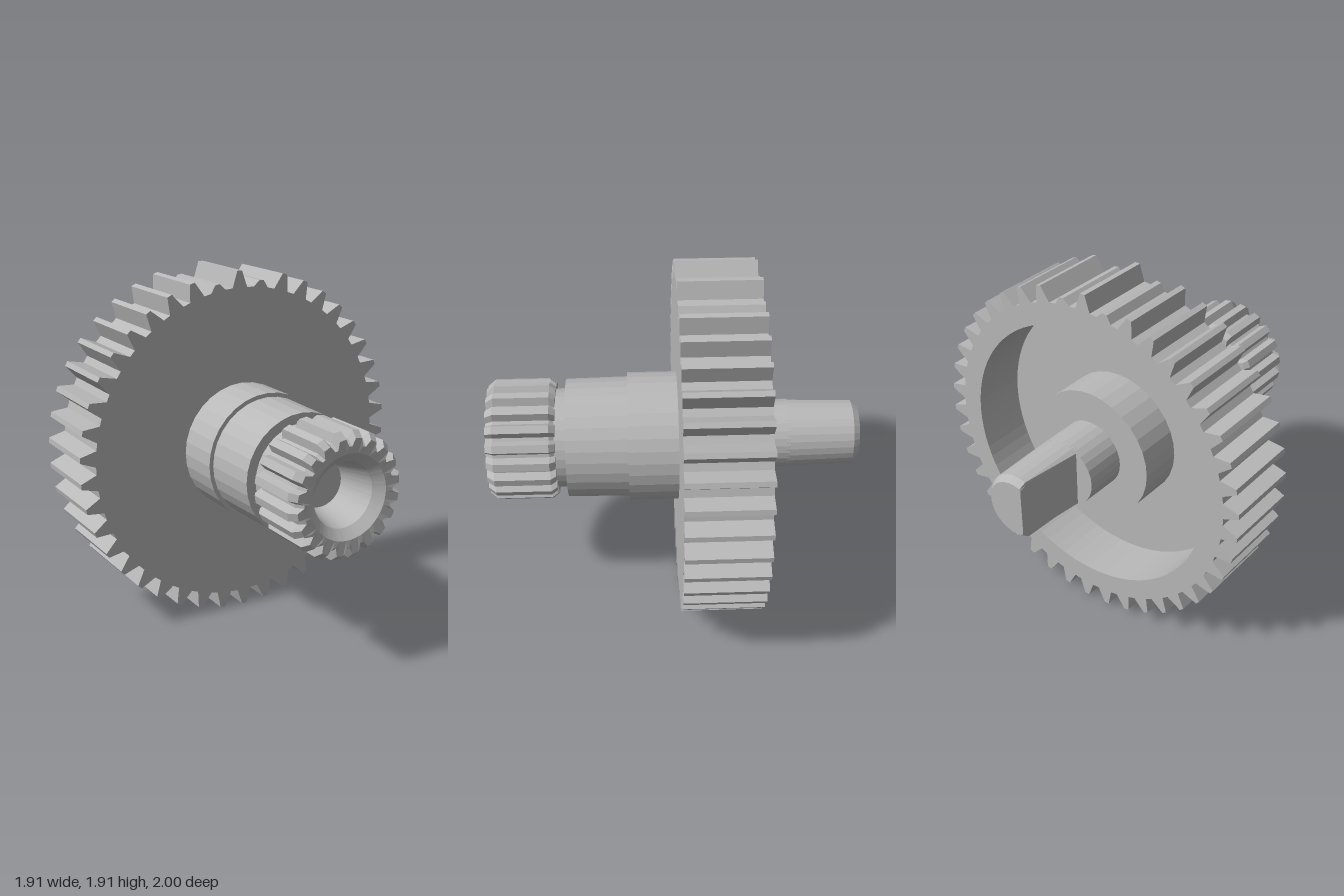
import * as THREE from 'three';

const AXIS_Y = 0.957;

// Toothed outline, counter-clockwise, as [x, y] points; tipOf(i) gives the tip radius of tooth i
function toothOutline(count, root, tipOf, rootHalf, tipHalf, start) {
  const pts = [];
  for (let i = 0; i < count; i++) {
    const pitch = (Math.PI * 2) / count;
    const a = start + i * pitch;
    const tip = tipOf(i);
    for (const [f, r] of [[-rootHalf, root], [-tipHalf, tip], [tipHalf, tip], [rootHalf, root]]) {
      pts.push([Math.cos(a + f * pitch) * r, Math.sin(a + f * pitch) * r]);
    }
  }
  return pts;
}

// Skin over equal-length rings of [x, y, z], ordered along the surface, closed at both ends
function loft(rings) {
  const n = rings[0].length;
  const pos = [];
  const mid = (ring) => [0, 1, 2].map((k) => ring.reduce((s, p) => s + p[k], 0) / n);
  const first = rings[0], last = rings[rings.length - 1];
  const c0 = mid(first), c1 = mid(last);
  for (let i = 0; i < n; i++) {
    const j = (i + 1) % n;
    for (let k = 0; k + 1 < rings.length; k++) {
      const a = rings[k][i], b = rings[k][j], c = rings[k + 1][j], d = rings[k + 1][i];
      pos.push(...a, ...b, ...c, ...a, ...c, ...d);
    }
    pos.push(...c0, ...first[j], ...first[i], ...c1, ...last[i], ...last[j]);
  }
  const g = new THREE.BufferGeometry();
  g.setAttribute('position', new THREE.Float32BufferAttribute(pos, 3));
  g.computeVertexNormals();
  return g;
}

// Turned part along z from [radius, z] pairs
function turned(profile, sides = 32) {
  const pts = profile.map(([r, z]) => new THREE.Vector2(r, z));
  return new THREE.LatheGeometry(pts, sides).rotateX(Math.PI / 2);
}

export function createModel() {
  const model = new THREE.Group();
  model.name = 'gearShaft';
  const grey = new THREE.MeshStandardMaterial({ color: 0xb8b8b8, flatShading: true });
  grey.name = 'plainGrey';
  const body = new THREE.Group();
  body.name = 'gearBody';
  body.position.y = AXIS_Y;
  model.add(body);
  const add = (name, geometry) => {
    const mesh = new THREE.Mesh(geometry, grey);
    mesh.name = name;
    body.add(mesh);
    return mesh;
  };

  // Large gear: solid front web and a rim open at the back
  const shortTeeth = [20, 22];
  const outline = toothOutline(42, 0.868, (i) => (shortTeeth.includes(i) ? 0.905 : 0.957),
    0.34, 0.1, -Math.PI / 2 + 0.015);
  const gearShape = () => new THREE.Shape(outline.map(([x, y]) => new THREE.Vector2(x, y)));
  const extrude = (shape, depth, z) => new THREE.ExtrudeGeometry(shape,
    { depth, bevelEnabled: false, curveSegments: 40 }).translate(0, 0, z);
  add('gearWeb', extrude(gearShape(), 0.135, -0.15));
  const rim = gearShape();
  rim.holes.push(new THREE.Path().absarc(0, 0, 0.75, 0, Math.PI * 2, true));
  add('gearRim', extrude(rim, 0.3, -0.45));

  // Hub inside the rear recess
  add('rearHub', turned([[0, -0.39], [0.36, -0.39], [0.36, -0.14]]));

  // Sloping fins on the upper side of the rear hub
  const fin = new THREE.Shape([[0.34, 0], [0.7, 0], [0.34, 0.1]].map(([x, y]) => new THREE.Vector2(x, y)));
  for (const deg of [35, 55, 72, 90, 125]) {
    const g = new THREE.ExtrudeGeometry(fin, { depth: 0.05, bevelEnabled: false });
    g.translate(0, 0, -0.025).rotateX(-Math.PI / 2).translate(0, 0, -0.15);
    g.rotateX(0);
    // the fin rises toward the back of the gear
    g.rotateX(Math.PI).translate(0, 0, -0.3);
    g.rotateZ(THREE.MathUtils.degToRad(deg));
    add('hubFin', g);
  }

  // Rear shaft: round base, then a tapered end with one flat side
  add('rearShaftBase', turned([[0, -0.62], [0.185, -0.62], [0.187, -0.14]], 28));
  const dRing = (r, flat, z) => Array.from({ length: 28 }, (_, i) => {
    const a = ((i + 0.5) / 28) * Math.PI * 2;
    return [Math.max(Math.cos(a) * r, flat), Math.sin(a) * r, z];
  });
  add('flatSidedShaft', loft([
    dRing(0.15, -0.055, -1), dRing(0.176, -0.06, -0.965), dRing(0.185, -0.09, -0.6),
  ]));

  // Stepped front hub: collar, sleeve and neck
  add('frontHub', turned([
    [0.35, -0.02], [0.35, 0.25], [0.328, 0.25], [0.322, 0.58], [0.27, 0.58], [0.27, 0.66],
  ]));

  // Small pinion with chamfered ends and a hollow bore
  const pinion = toothOutline(20, 0.285, () => 0.328, 0.4, 0.2, Math.PI / 20);
  const toothed = (s, z) => pinion.map(([x, y]) => [x * s, y * s, z]);
  const round = (r, z) => pinion.map(([x, y]) => {
    const l = Math.hypot(x, y);
    return [(x / l) * r, (y / l) * r, z];
  });
  add('pinion', loft([
    toothed(0.93, 0.635), toothed(1, 0.665), toothed(1, 0.96), toothed(0.9, 1),
    round(0.22, 0.995), round(0.17, 0.95), round(0.125, 0.75),
  ]));

  return model;
}
